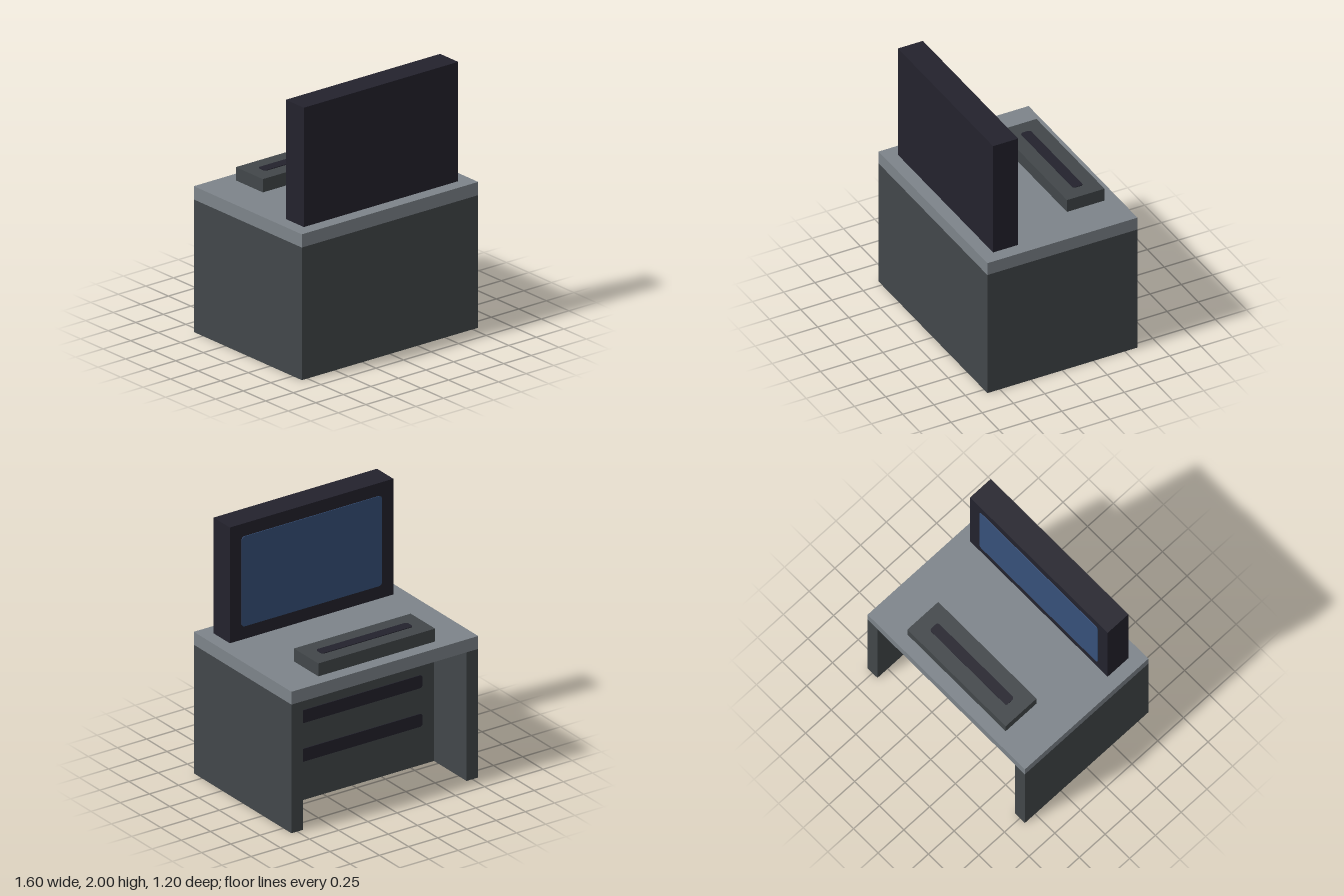
import * as THREE from 'three';

const mat = (name, color) => {
  const m = new THREE.MeshStandardMaterial({ color });
  m.name = name;
  return m;
};

export function createModel() {
  const group = new THREE.Group();
  const body = mat('darkGrey', 0x42474a);
  const slab = mat('lightGrey', 0x7d848a);
  const black = mat('nearBlack', 0x23222d);
  const blue = mat('screenBlue', 0x37517a);

  const add = (name, geometry, material, x, y, z) => {
    const mesh = new THREE.Mesh(geometry, material);
    mesh.name = name;
    mesh.position.set(x, y, z);
    group.add(mesh);
    return mesh;
  };
  const box = (name, w, h, d, material, x, y, z) =>
    add(name, new THREE.BoxGeometry(w, h, d), material, x, y, z);

  // Thin rounded plate facing +z, its back on z = 0
  const plate = (w, h, r) => {
    const a = w / 2 - r, b = h / 2 - r;
    const s = new THREE.Shape();
    s.absarc(a, b, r, 0, Math.PI / 2);
    s.absarc(-a, b, r, Math.PI / 2, Math.PI);
    s.absarc(-a, -b, r, Math.PI, Math.PI * 1.5);
    s.absarc(a, -b, r, Math.PI * 1.5, Math.PI * 2);
    return new THREE.ExtrudeGeometry(s, { depth: 0.005, bevelEnabled: false, curveSegments: 5 });
  };

  // Desk base: U-shaped plan with the knee space open at the back
  const plan = new THREE.Shape([
    [-0.8, -0.6], [0.8, -0.6], [0.8, 0.6], [0.7, 0.6],
    [0.7, 0.2], [-0.7, 0.2], [-0.7, 0.6], [-0.8, 0.6],
  ].map(([x, y]) => new THREE.Vector2(x, y)));
  const base = new THREE.ExtrudeGeometry(plan, { depth: 1, bevelEnabled: false });
  base.rotateX(-Math.PI / 2);
  add('deskBase', base, body, 0, 0, 0);

  box('deskTop', 1.6, 0.1, 1.2, slab, 0, 1.05, 0);

  // Slots on the recessed panel
  for (const y of [0.35, 0.65]) {
    add('panelSlot', plate(1.2, 0.1, 0.025), black, 0, y, -0.2).rotation.y = Math.PI;
  }

  // Monitor, its screen towards the knee space
  box('monitor', 1.4, 0.9, 0.2, black, 0, 1.55, 0.4);
  add('screen', plate(1.2, 0.7, 0.025), blue, 0, 1.55, 0.3).rotation.y = Math.PI;

  // Keyboard with its key strip
  box('keyboard', 1, 0.1, 0.3, body, 0, 1.15, -0.35);
  add('keyStrip', plate(0.78, 0.08, 0.02), black, 0, 1.2, -0.35).rotation.x = -Math.PI / 2;

  return group;
}
